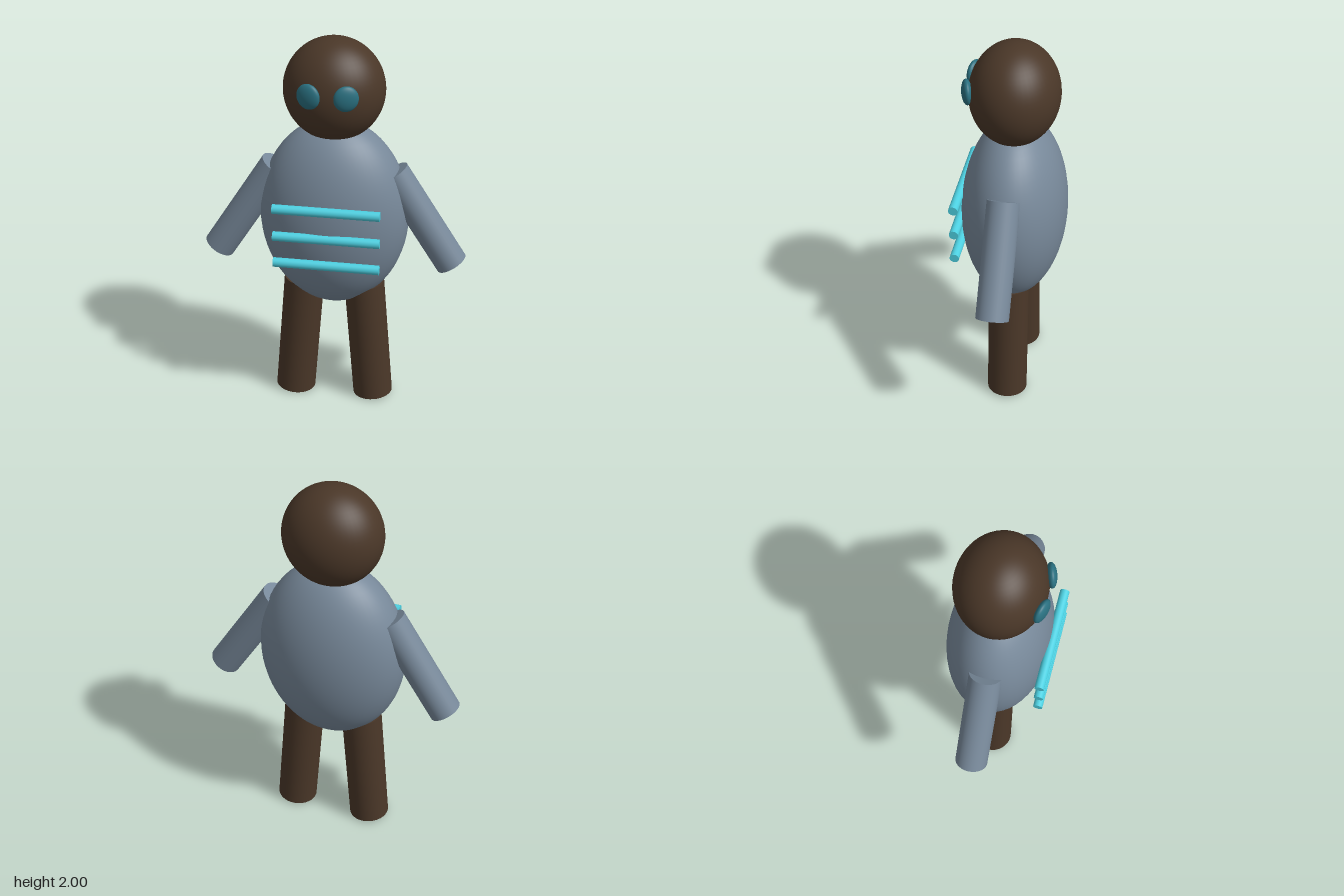
import * as THREE from 'three';

const mat = (color) => new THREE.MeshStandardMaterial({ color });

export function createModel() {
  const group = new THREE.Group();
  const slate = mat(0x778899), brown = mat(0x4a3728), teal = mat(0x2a7080), cyan = mat(0x4dd0e1);

  const ellipsoid = (name, material, center, radii) => {
    const mesh = new THREE.Mesh(new THREE.SphereGeometry(1, 48, 32), material);
    mesh.name = name;
    mesh.position.set(...center);
    mesh.scale.set(...radii);
    group.add(mesh);
    return mesh;
  };

  // Cylinder running between two points
  const rod = (name, material, from, to, radius) => {
    const a = new THREE.Vector3(...from), b = new THREE.Vector3(...to);
    const dir = b.clone().sub(a);
    const mesh = new THREE.Mesh(new THREE.CylinderGeometry(radius, radius, dir.length(), 32), material);
    mesh.name = name;
    mesh.position.copy(a).add(b).multiplyScalar(0.5);
    mesh.quaternion.setFromUnitVectors(new THREE.Vector3(0, 1, 0), dir.normalize());
    group.add(mesh);
  };

  ellipsoid('body', slate, [0, 1.07, -0.01], [0.38, 0.505, 0.265]);
  ellipsoid('head', brown, [0, 1.74, -0.008], [0.252, 0.26, 0.223]);

  // Mirrored limbs and eyes
  for (const [side, s] of [['left', 1], ['right', -1]]) {
    rod(side + 'Arm', slate, [s * 0.605, 0.824, -0.008], [s * 0.295, 1.311, -0.008], 0.082);
    rod(side + 'Leg', brown, [s * 0.21, 0.009, -0.006], [s * 0.157, 0.68, -0.006], 0.104);
    const eye = ellipsoid(side + 'Eye', teal, [s * 0.091, 1.775, 0.207], [0.061, 0.064, 0.026]);
    eye.rotation.y = s * 0.32;
  }

  // Chest bars
  [1.19, 1.04, 0.893].forEach((y, i) => {
    rod('chestBar' + (i + 1), cyan, [-0.267, y, 0.252], [0.267, y, 0.252], 0.024);
  });

  return group;
}
